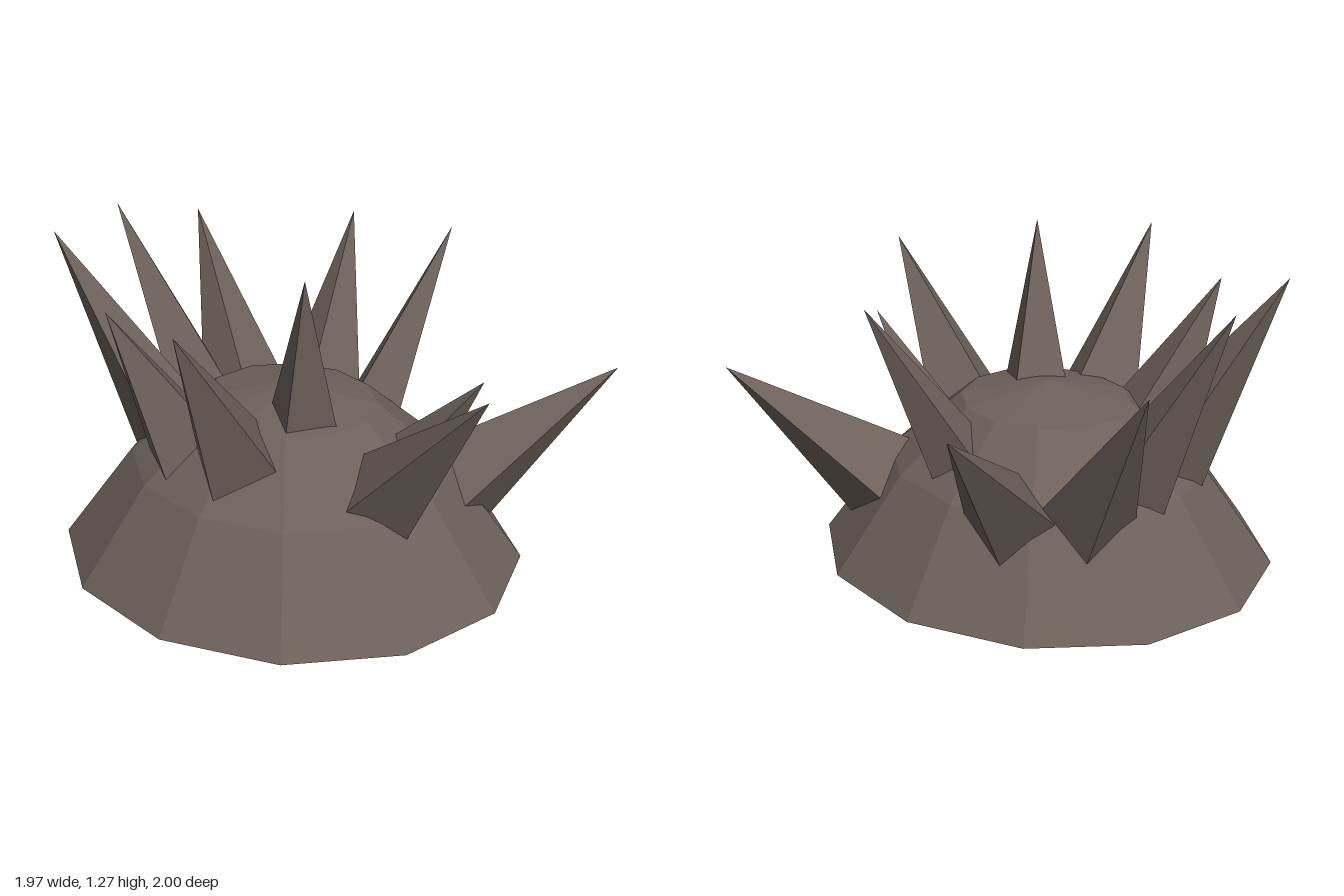
import * as THREE from 'three';

// Each spike: centre and radius where it meets the shell, tip, twist about its axis,
// and how far its base is sunk below the shell
const SPIKES = [
  { root: [-0.29, 0.395, -0.395], tip: [-0.52, 0.96, -1.0], r: 0.173, twist: 0, sink: 0.2 },
  { root: [0.085, 0.53, -0.27], tip: [0.2, 1.165, -0.615], r: 0.128, twist: 0.1, sink: 0.2 },
  { root: [0.095, 0.66, 0.27], tip: [0.185, 1.27, 0.39], r: 0.14, twist: -0.55, sink: 0.2 },
  { root: [0.5, 0.29, -0.235], tip: [0.965, 0.75, -0.605], r: 0.2, twist: 0, sink: 0.12 },
  { root: [0.43, 0.48, 0.04], tip: [0.725, 0.87, 0.02], r: 0.11, twist: 0, sink: 0.2 },
  { root: [0.465, 0.43, 0.29], tip: [0.985, 1.03, 0.45], r: 0.182, twist: 0, sink: 0.18 },
  { root: [-0.035, 0.54, 0.525], tip: [-0.025, 1.18, 0.89], r: 0.182, twist: 0, sink: 0.23 },
  { root: [-0.33, 0.53, 0.48], tip: [-0.5, 1.09, 0.69], r: 0.172, twist: 0.8, sink: 0.2 },
  { root: [-0.53, 0.47, 0.3], tip: [-0.94, 1.24, 0.46], r: 0.175, twist: 0, sink: 0.2 },
  { root: [-0.56, 0.47, 0.05], tip: [-0.975, 1.22, 0.04], r: 0.165, twist: 0, sink: 0.22 },
  { root: [-0.54, 0.43, -0.2], tip: [-0.95, 1.05, -0.45], r: 0.17, twist: -0.3, sink: 0.2 },
];

// Four-sided cone aimed at its tip, tapering evenly from its sunken base
function makeSpike({ root, tip, r, twist, sink }, material) {
  const from = new THREE.Vector3(...root);
  const to = new THREE.Vector3(...tip);
  const visible = from.distanceTo(to);
  const height = visible + sink;
  const geometry = new THREE.ConeGeometry(r * height / visible, height, 4);
  geometry.translate(0, height / 2 - sink, 0).rotateY(twist).rotateX(Math.PI / 2);
  const spike = new THREE.Mesh(geometry, material);
  spike.position.copy(from);
  spike.lookAt(to);
  return spike;
}

export function createModel() {
  const model = new THREE.Group();
  model.name = 'spikedShell';
  const material = new THREE.MeshStandardMaterial({
    color: 0x6d615a,
    flatShading: true,
    side: THREE.DoubleSide,
  });

  // Open, faceted shell: a shallow cap, slightly wider than deep
  const profile = [[1, 0], [0.695, 0.39], [0.378, 0.64], [0, 0.715]]
    .map(([x, y]) => new THREE.Vector2(x, y));
  const dome = new THREE.Mesh(new THREE.LatheGeometry(profile, 12), material);
  dome.name = 'dome';
  dome.scale.set(0.933, 1, 0.85);
  dome.position.set(-0.052, 0, 0.15);
  model.add(dome);

  // Spikes
  const spikes = new THREE.Group();
  spikes.name = 'spikes';
  SPIKES.forEach((spec, i) => {
    const spike = makeSpike(spec, material);
    spike.name = `spike${i + 1}`;
    spikes.add(spike);
  });
  model.add(spikes);

  return model;
}
